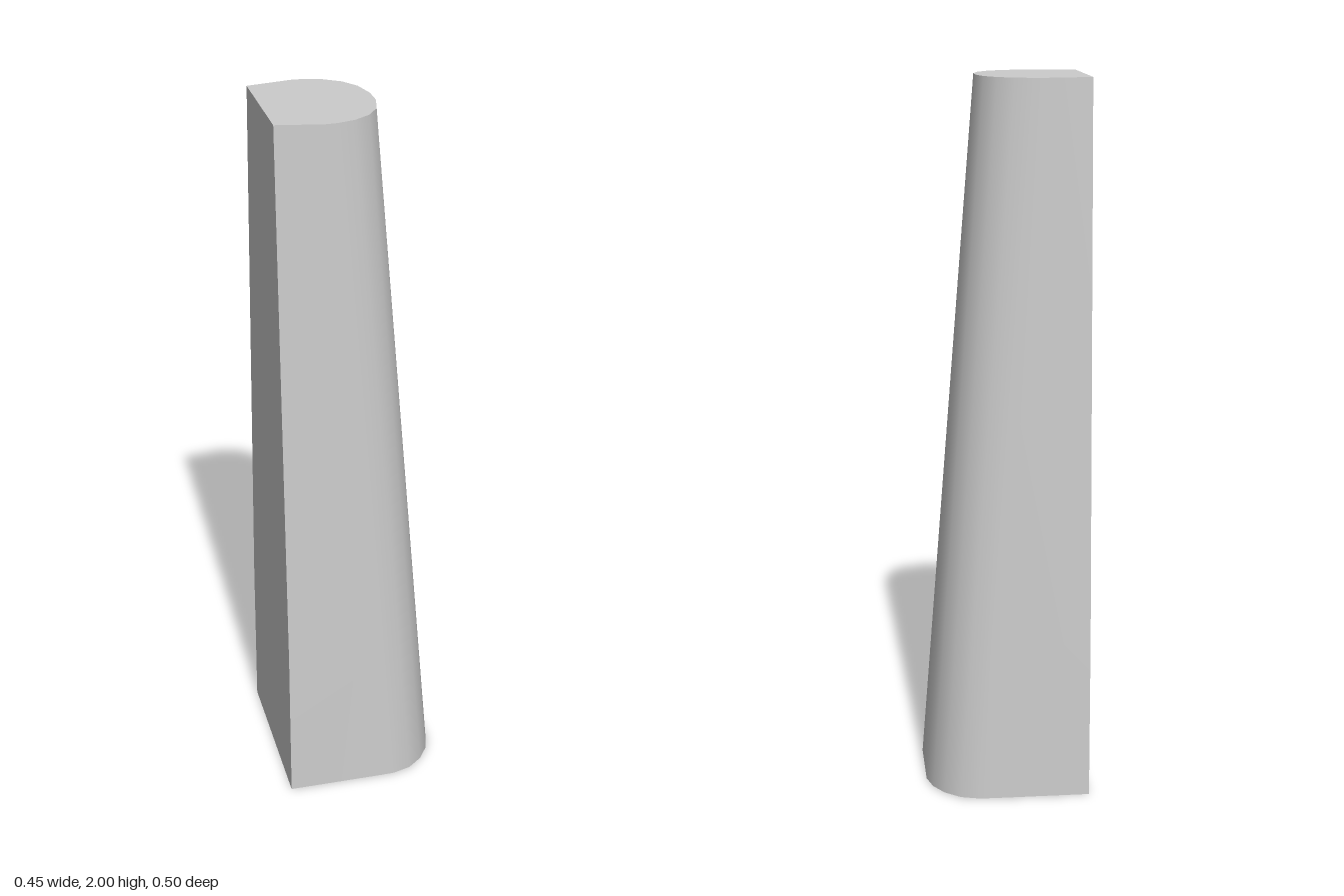
import * as THREE from 'three';
import { toCreasedNormals } from 'three/addons/utils/BufferGeometryUtils.js';

// Half outlines [x, z] from the back corner round to the blunt front
const BOTTOM = [[-0.227, 0.25], [0.05, 0.25], [0.085, 0.249], [0.137, 0.234], [0.18, 0.2], [0.21, 0.155], [0.226, 0.1]];
const TOP = [[-0.227, 0.167], [-0.1, 0.191], [-0.068, 0.189], [-0.02, 0.175], [0.025, 0.144], [0.056, 0.097], [0.072, 0.03]];

// Mirror a half outline across z = 0 into a closed ring at height y
function ring(half, y) {
  const mirrored = half.map(([x, z]) => [x, -z]).reverse();
  return [...half, ...mirrored].map(([x, z]) => new THREE.Vector3(x, y, z));
}

// Outline between bottom and top; the back corners stay wide low down
function midOutline(t) {
  return BOTTOM.map(([x, z], i) => [
    THREE.MathUtils.lerp(x, TOP[i][0], t),
    i === 0 ? 0.245 : THREE.MathUtils.lerp(z, TOP[i][1], t),
  ]);
}

// Skin the rings and close both ends
function loft(rings) {
  const n = rings[0].length;
  const points = [];
  for (let r = 0; r < rings.length - 1; r++) {
    const a = rings[r], b = rings[r + 1];
    for (let i = 0; i < n; i++) {
      const j = (i + 1) % n;
      // Diagonals are mirrored between the two sides
      if (i < n / 2) points.push(a[i], a[j], b[j], a[i], b[j], b[i]);
      else points.push(a[i], a[j], b[i], a[j], b[j], b[i]);
    }
  }
  const low = rings[0], high = rings[rings.length - 1];
  for (let i = 1; i < n - 1; i++) {
    points.push(high[0], high[i], high[i + 1]);
    points.push(low[0], low[i + 1], low[i]);
  }
  return toCreasedNormals(new THREE.BufferGeometry().setFromPoints(points), 0.6);
}

export function createModel() {
  const group = new THREE.Group();
  group.name = 'taperedPost';

  // Tapered post with a flat back and a rounded, sloping front
  const midY = 0.45;
  const geometry = loft([ring(BOTTOM, 0), ring(midOutline(midY / 2), midY), ring(TOP, 2)]);
  const post = new THREE.Mesh(geometry, new THREE.MeshStandardMaterial({ color: 0xcccccc }));
  post.name = 'post';
  group.add(post);
  return group;
}
